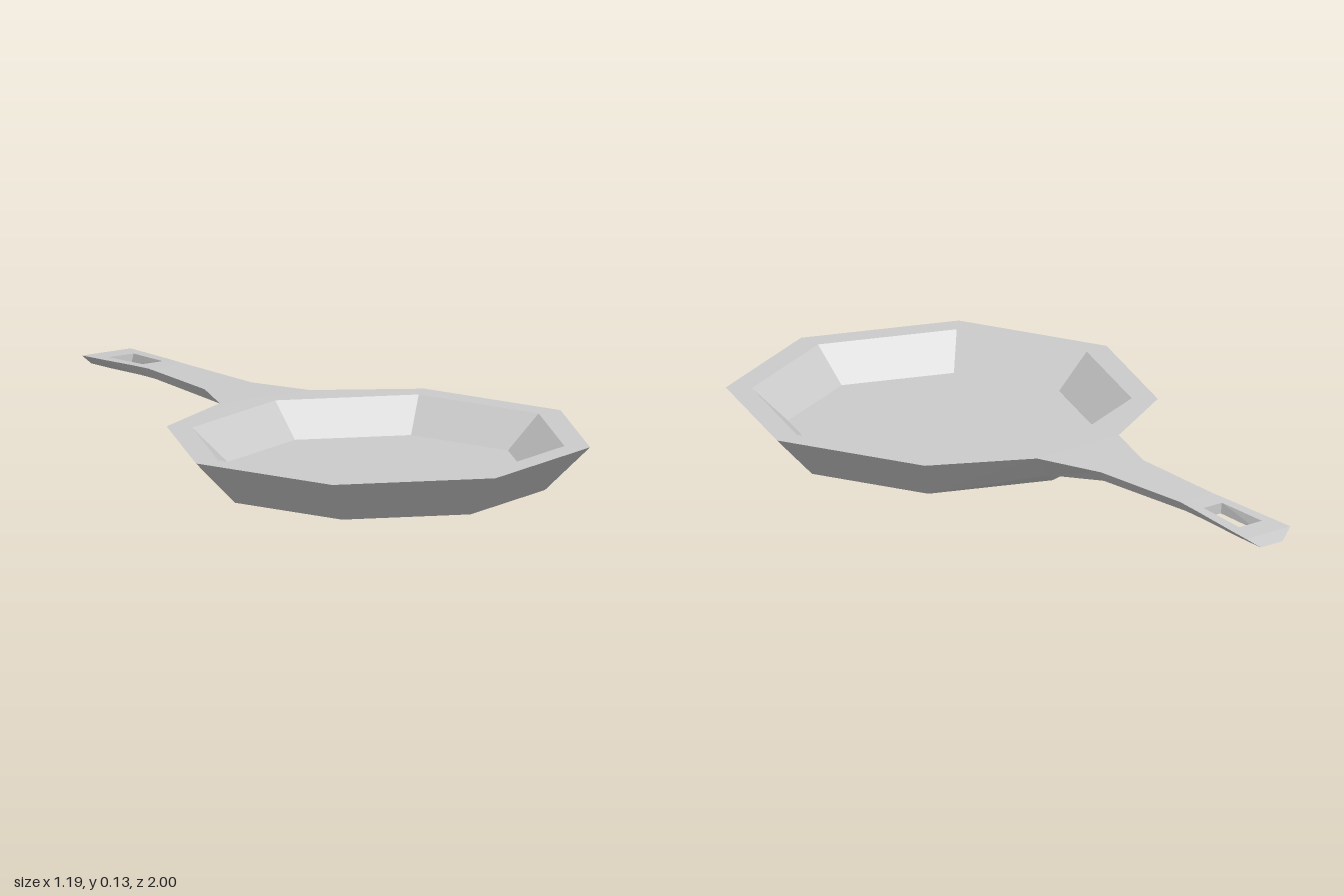
import * as THREE from 'three';

const material = new THREE.MeshStandardMaterial({ color: 0xcccccc, flatShading: true });
const RIM = 0.127, FLOOR = 0.035, CENTER_Z = 0.4;

// Collects faces of the +x half and mirrors each one to -x
function mirroredMesh(name, build) {
  const pos = [];
  const tri = (a, b, c) => {
    pos.push(...a, ...b, ...c);
    for (const [x, y, z] of [a, c, b]) pos.push(-x, y, z);
  };
  const face = (a, b, c, d) => {
    tri(a, b, c);
    if (d) tri(a, c, d);
  };
  build(face);
  const geometry = new THREE.BufferGeometry();
  geometry.setAttribute('position', new THREE.Float32BufferAttribute(pos, 3));
  geometry.computeVertexNormals();
  const mesh = new THREE.Mesh(geometry, material);
  mesh.name = name;
  return mesh;
}

// Half an octagon from the front corner round +x to the back corner
function halfRing(radius, y) {
  return Array.from({ length: 5 }, (_, i) => {
    const a = (i * Math.PI) / 4;
    return [radius * Math.sin(a), y, CENTER_Z + radius * Math.cos(a)];
  });
}

// Quads between two parallel rows of points
function strip(face, lower, upper) {
  for (let i = 0; i < lower.length - 1; i++) face(lower[i], lower[i + 1], upper[i + 1], upper[i]);
}

const middle = ([, y, z]) => [0, y, z];

export function createModel() {
  const group = new THREE.Group();
  group.name = 'fryingPan';

  const outer = halfRing(0.597, RIM);
  const base = halfRing(0.47, 0);
  const inner = halfRing(0.525, RIM);
  const floor = halfRing(0.425, FLOOR);

  // Handle edges from the pan to the tip: top and narrower underside
  const top = [
    [0.148, RIM, -0.178], [0.077, 0.121, -0.365], [0.058, 0.115, -0.68],
    [0.063, 0.111, -0.75], [0.075, 0.1, -0.91], [0.08, 0.095, -0.985],
  ];
  const under = [
    [0.065, 0.045, -0.125], [0.045, 0.082, -0.34], [0.037, 0.084, -0.68],
    [0.038, 0.081, -0.75], [0.04, 0.07, -0.91], [0.04, 0.065, -1],
  ];
  const holeTop = [[0.033, 0.111, -0.75], [0.041, 0.1, -0.91]];
  const holeUnder = [[0.029, 0.081, -0.75], [0.033, 0.07, -0.91]];

  // Sloped outer wall and flat base
  group.add(mirroredMesh('outerWall', (face) => {
    strip(face, base.slice(0, 4), outer.slice(0, 4));
    for (let i = 0; i < 4; i++) face(base[i + 1], base[i], [0, 0, CENTER_Z]);
  }));

  // Flat rim, running into the root of the handle
  group.add(mirroredMesh('rim', (face) => {
    strip(face, outer.slice(0, 4), inner.slice(0, 4));
    face(outer[3], top[0], inner[4], inner[3]);
    face(top[0], middle(top[0]), inner[4]);
  }));

  // Inside of the pan
  group.add(mirroredMesh('basin', (face) => {
    strip(face, inner, floor);
    for (let i = 0; i < 4; i++) face(floor[i], floor[i + 1], [0, FLOOR, CENTER_Z]);
  }));

  // Handle with its flared root, slanted end and hanging hole
  group.add(mirroredMesh('handle', (face) => {
    face(base[3], under[0], top[0], outer[3]);
    face(under[0], base[3], base[4]);
    face(under[0], base[4], middle(under[0]));
    strip(face, under, top);
    for (let i = 0; i < 5; i++) {
      const hole = i === 3;
      const [a, b] = hole ? holeTop : [middle(top[i]), middle(top[i + 1])];
      const [c, d] = hole ? holeUnder : [middle(under[i]), middle(under[i + 1])];
      face(top[i], top[i + 1], b, a);
      face(under[i + 1], under[i], c, d);
    }
    face(under[5], middle(under[5]), middle(top[5]), top[5]);
    const loop = ([a, b]) => [middle(a), a, b, middle(b)];
    strip(face, loop(holeTop), loop(holeUnder));
  }));

  return group;
}
